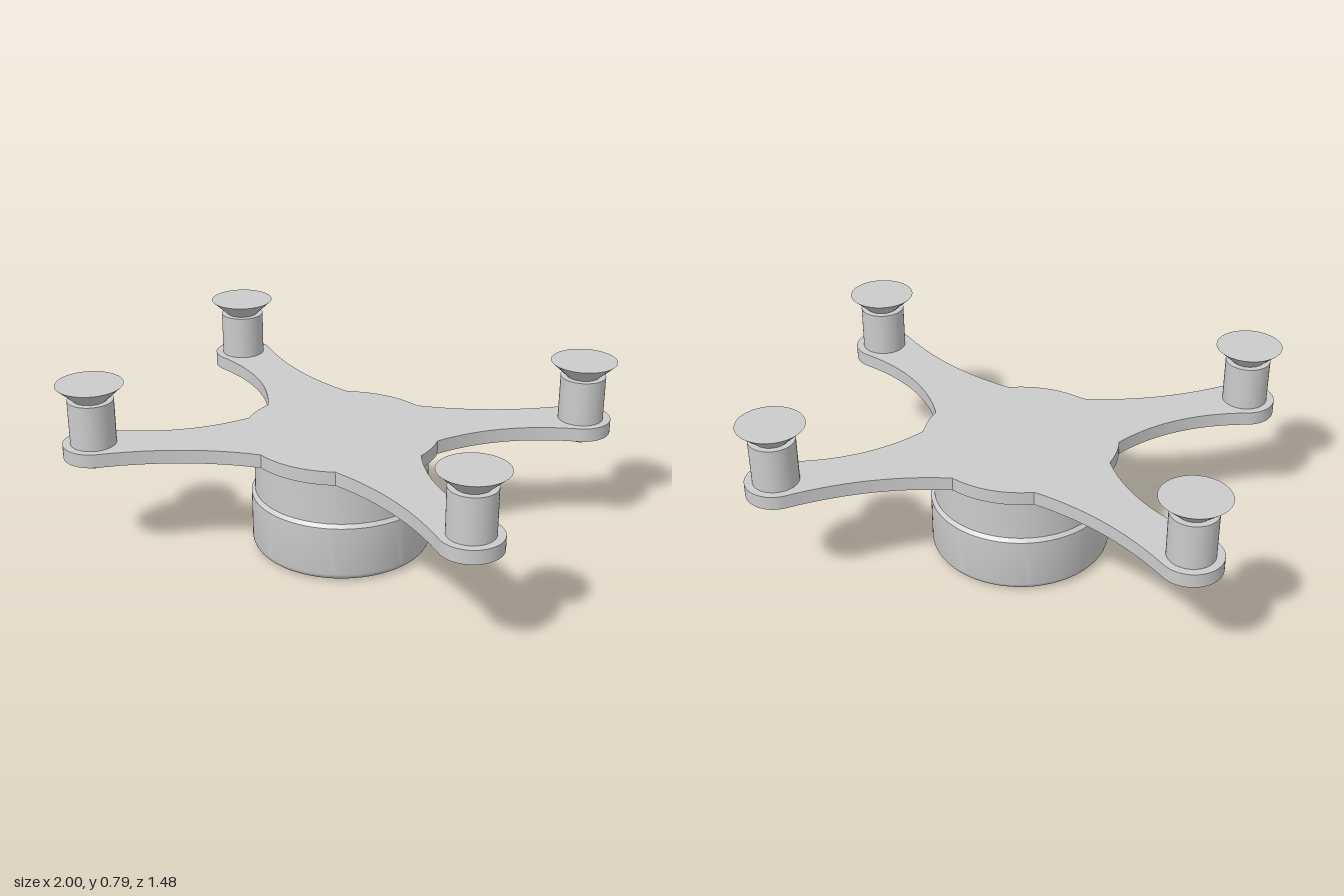
import * as THREE from 'three';
import { toCreasedNormals } from 'three/addons/utils/BufferGeometryUtils.js';

const POST_X = 0.857, POST_Z = 0.6, HUB_R = 0.42, PAD_R = 0.13;
const PLATE_BOTTOM = 0.465, PLATE_TOP = 0.525;
const material = new THREE.MeshStandardMaterial({ color: 0xcccccc });

function addMesh(parent, name, geometry, x = 0, y = 0, z = 0) {
  const mesh = new THREE.Mesh(geometry, material);
  mesh.name = name;
  mesh.position.set(x, y, z);
  parent.add(mesh);
  return mesh;
}

// Cylinder or cone standing between two heights
const column = (rTop, rBottom, y0, y1, sides = 48) =>
  new THREE.CylinderGeometry(rTop, rBottom, y1 - y0, sides).translate(0, (y0 + y1) / 2, 0);

// Points on a circular arc, angles in radians
function arc(cx, cy, r, a0, a1, n) {
  return Array.from({ length: n + 1 }, (_, i) => {
    const a = a0 + (a1 - a0) * i / n;
    return new THREE.Vector2(cx + r * Math.cos(a), cy + r * Math.sin(a));
  });
}

// One quarter of the plate outline: hub bulge, hollow arm side, rounded pad, hollow side, hub bulge
function quarterOutline() {
  const hubA = arc(0, 0, HUB_R, 0, 0.195, 4);
  const hubB = arc(0, 0, HUB_R, 1.145, Math.PI / 2, 8);
  const pad = arc(POST_X, POST_Z, PAD_R, -1.29, 2.31, 28);
  const hollow = (from, cx, cy, to) =>
    new THREE.QuadraticBezierCurve(from, new THREE.Vector2(cx, cy), to).getPoints(20).slice(1, -1);
  return [
    ...hubA,
    ...hollow(hubA.at(-1), 0.57, 0.37, pad[0]),
    ...pad,
    ...hollow(pad.at(-1), 0.5, 0.455, hubB[0]),
    ...hubB,
  ];
}

function plateGeometry() {
  const q = quarterOutline();
  const mirror = (sx, sy) => q.map((p) => new THREE.Vector2(p.x * sx, p.y * sy));
  const outline = [
    ...q.slice(0, -1),
    ...mirror(-1, 1).reverse().slice(0, -1),
    ...mirror(-1, -1).slice(0, -1),
    ...mirror(1, -1).reverse().slice(0, -1),
  ];
  const geometry = new THREE.ExtrudeGeometry(new THREE.Shape(outline), {
    depth: PLATE_TOP - PLATE_BOTTOM, bevelEnabled: false,
  });
  geometry.rotateX(Math.PI / 2).translate(0, PLATE_TOP, 0);
  return toCreasedNormals(geometry, 0.3);
}

// Stepped drum with a rounded bottom edge
function drumGeometry() {
  const profile = [
    new THREE.Vector2(0, 0),
    ...arc(0.35, 0.04, 0.04, -Math.PI / 2, 0, 8),
    new THREE.Vector2(0.39, 0.25),
    new THREE.Vector2(0.375, 0.265),
    new THREE.Vector2(0.375, PLATE_BOTTOM),
    new THREE.Vector2(0, PLATE_BOTTOM),
  ];
  return toCreasedNormals(new THREE.LatheGeometry(profile, 96), 0.5);
}

export function createModel() {
  const model = new THREE.Group();
  model.name = 'fourArmMount';

  addMesh(model, 'drum', drumGeometry());
  addMesh(model, 'plate', plateGeometry());

  // Post, flared cup and hex bolt at each arm end
  for (const sx of [1, -1]) for (const sz of [1, -1]) {
    const foot = new THREE.Group();
    foot.name = (sz > 0 ? 'front' : 'back') + (sx > 0 ? 'Left' : 'Right') + 'Post';
    foot.position.set(sx * POST_X, 0, sz * POST_Z);
    addMesh(foot, 'post', column(0.097, 0.097, PLATE_TOP, 0.72));
    addMesh(foot, 'suctionCup', column(0.142, 0.07, 0.72, 0.787));
    const bolt = toCreasedNormals(column(0.045, 0.045, 0.422, PLATE_BOTTOM, 6), 0.3);
    addMesh(foot, 'hexBolt', bolt.rotateY(Math.PI / 6));
    model.add(foot);
  }
  return model;
}
